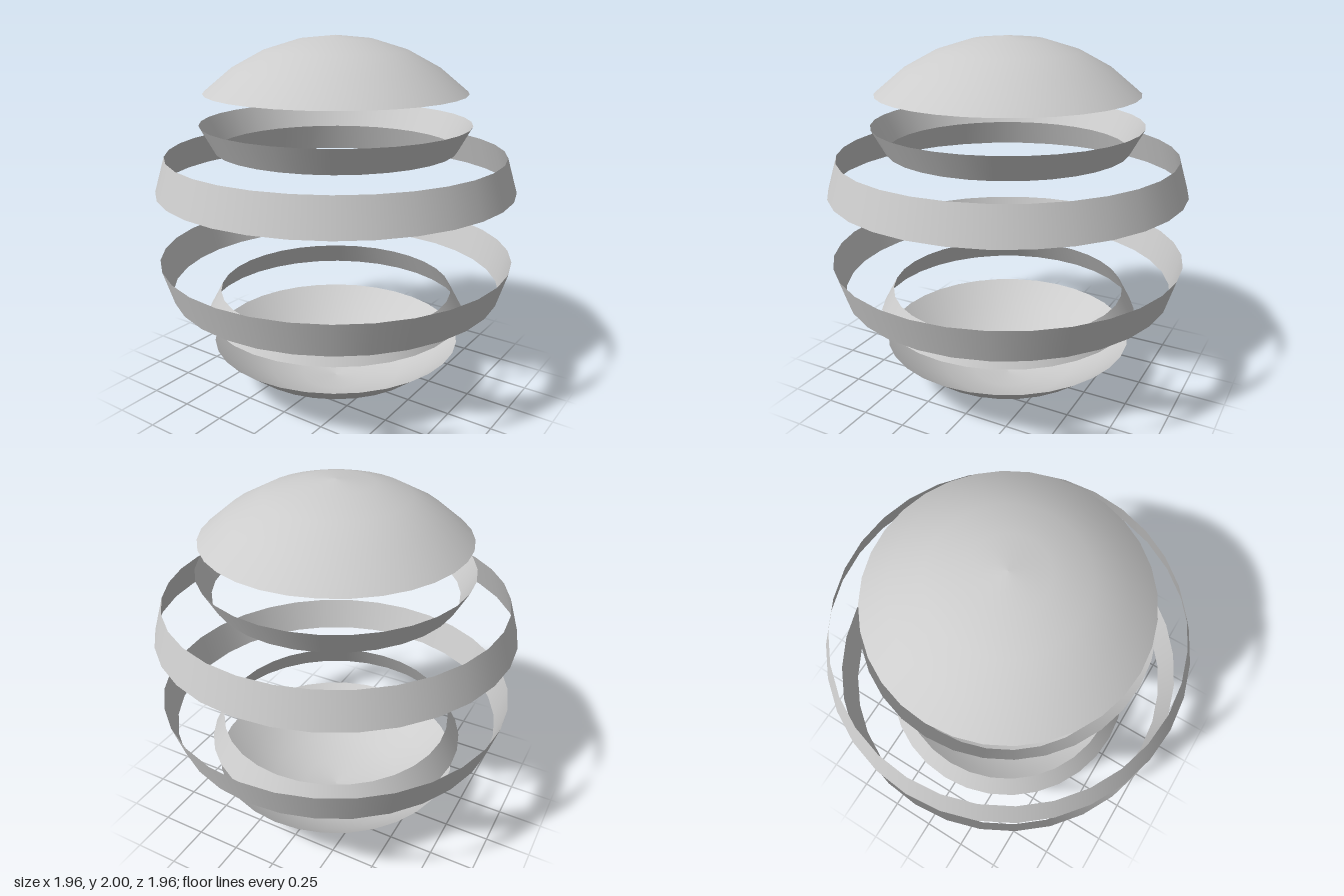
import * as THREE from 'three';

const SEGMENTS = 32;

export function createModel() {
  const model = new THREE.Group();
  const grey = new THREE.MeshStandardMaterial({ color: 0xcccccc, side: THREE.DoubleSide });
  grey.name = 'light grey';

  // Open surface of revolution; profile points [radius, height] run upwards
  const addShell = (name, profile) => {
    const points = profile.map(([r, y]) => new THREE.Vector2(r, y));
    const mesh = new THREE.Mesh(new THREE.LatheGeometry(points, SEGMENTS), grey);
    mesh.name = name;
    model.add(mesh);
  };

  // Point on the unit sphere, measured in steps of 11.25 degrees from the top
  const onSphere = (step) => {
    const a = (step * Math.PI) / 16;
    return [Math.sin(a), 1 + Math.cos(a)];
  };

  // Upper half profiles, listed upwards
  const parts = {
    Cap: [4, 3, 2, 1, 0].map(onSphere),
    OuterBand: [7, 6].map(onSphere),
    InnerFlaredBand: [[0.66, 1.405], [0.735, 1.543]],
  };

  // Each part appears above and, mirrored, below the equator
  for (const [name, profile] of Object.entries(parts)) {
    addShell('upper' + name, profile);
    addShell('lower' + name, profile.map(([r, y]) => [r, 2 - y]).reverse());
  }
  return model;
}
